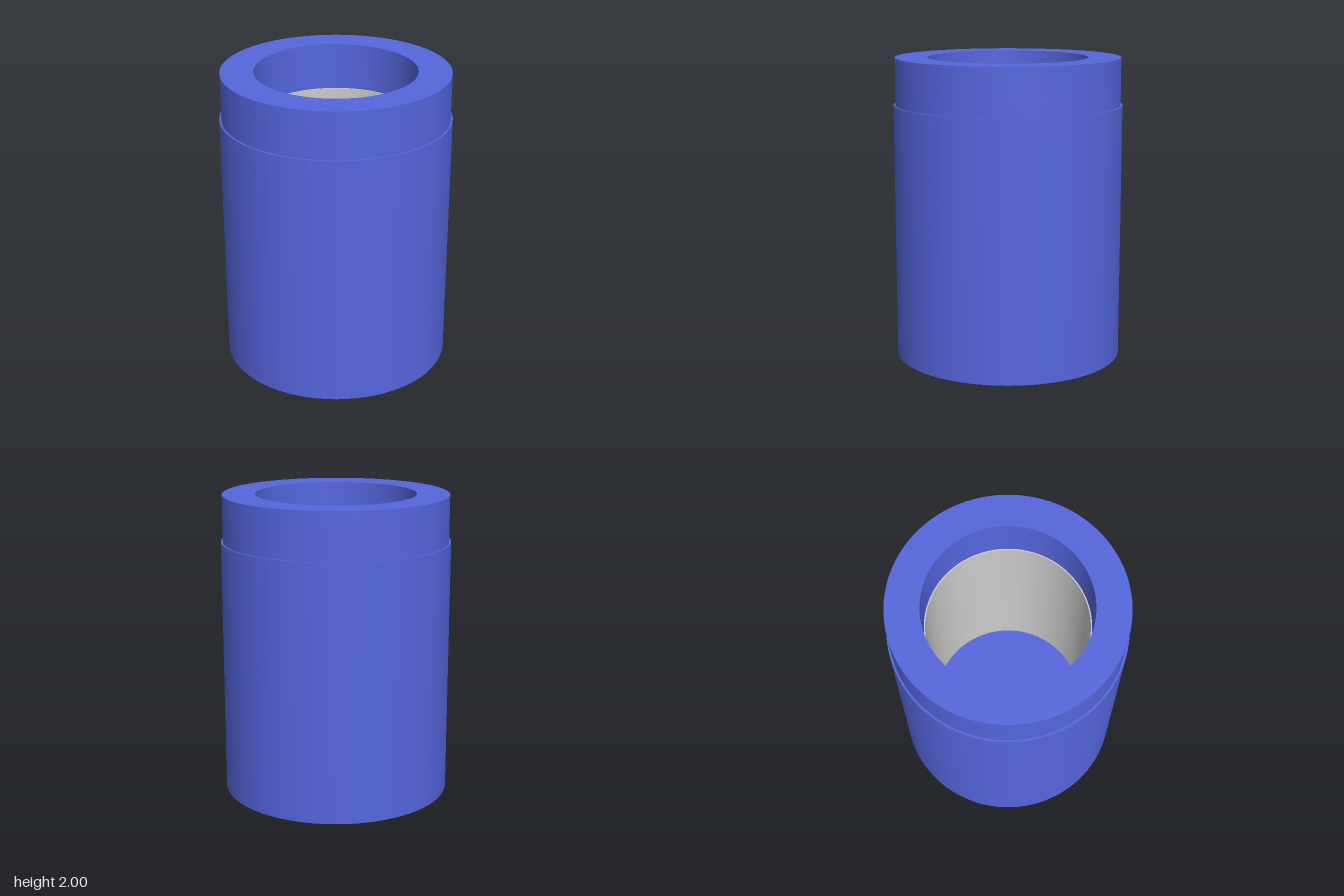
import * as THREE from 'three';
import { toCreasedNormals } from 'three/addons/utils/BufferGeometryUtils.js';

export function createModel() {
  const model = new THREE.Group();
  const blue = new THREE.MeshStandardMaterial({ color: 0x5566dd });
  const grey = new THREE.MeshStandardMaterial({ color: 0xcccccc });

  function add(name, geometry, material, y = 0) {
    const mesh = new THREE.Mesh(geometry, material);
    mesh.name = name;
    mesh.position.y = y;
    model.add(mesh);
  }

  // Profile of [radius, height] points, outside upwards then inside downwards
  function turned(points) {
    const profile = points.map(([r, y]) => new THREE.Vector2(r, y));
    return toCreasedNormals(new THREE.LatheGeometry(profile, 96), 0.6);
  }

  const shoulder = 1.69, floor = 0.3;

  // Thick-walled vessel with a solid floor
  add('body', turned([
    [0, 0], [0.755, 0], [0.755, shoulder], [0.527, shoulder], [0.527, floor], [0, floor],
  ]), blue);

  // Slightly narrower ring closing the top
  add('collar', turned([
    [0.527, shoulder], [0.742, shoulder], [0.742, 2], [0.527, 2], [0.527, shoulder],
  ]), blue);

  // Thin tube lining the cavity
  add('liner', turned([
    [0.514, floor], [0.522, floor], [0.522, shoulder], [0.514, shoulder], [0.514, floor],
  ]), grey);

  // Small stepped square stand in the middle of the floor
  let y = floor;
  for (const [name, width, height] of [
    ['standBase', 0.11, 0.05], ['standBlock', 0.08, 0.05], ['standPin', 0.016, 0.03],
  ]) {
    add(name, new THREE.BoxGeometry(width, height, width), blue, y + height / 2);
    y += height;
  }

  return model;
}
